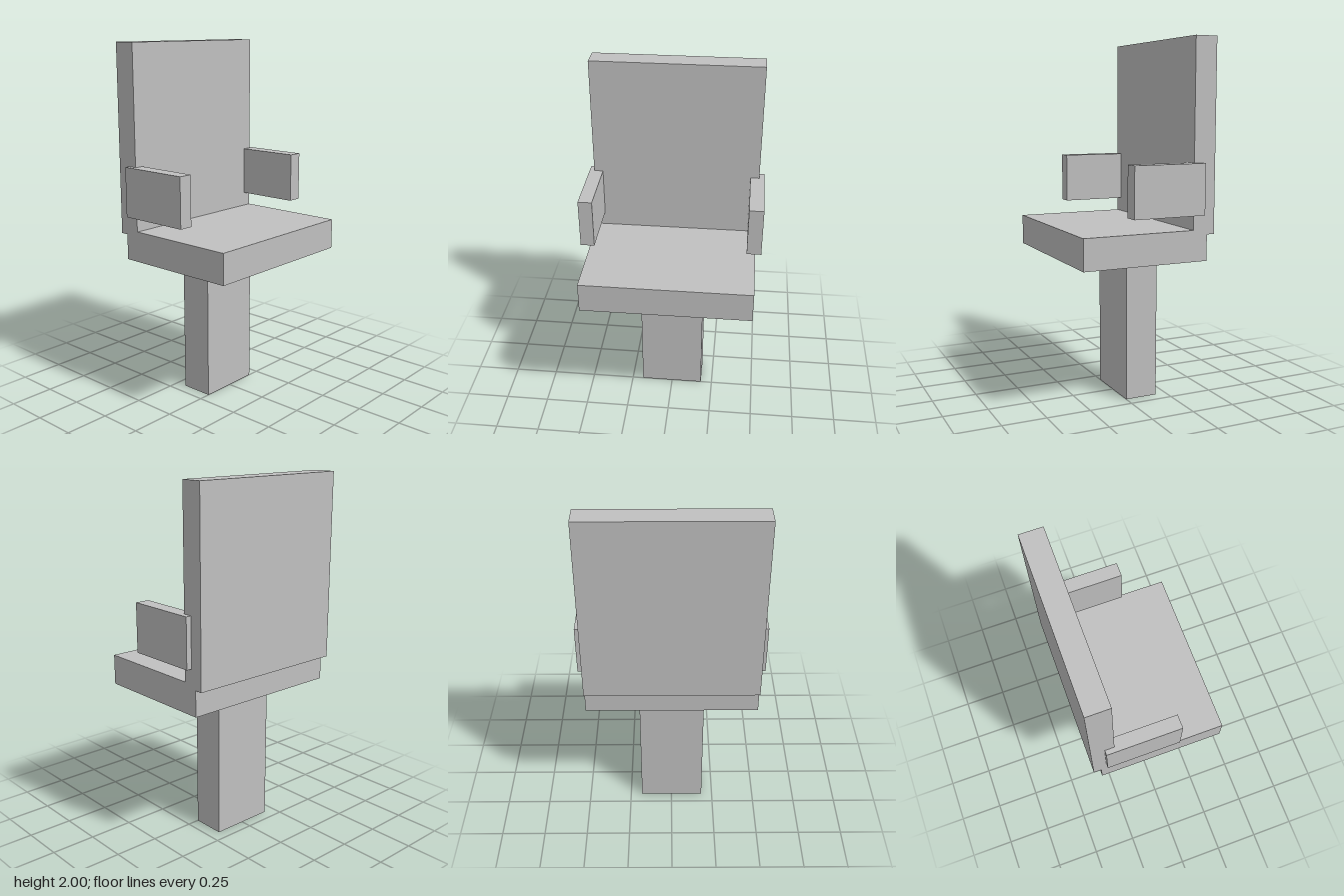
import * as THREE from 'three';

export function createModel() {
  const group = new THREE.Group();
  group.name = 'chair';
  const grey = new THREE.MeshStandardMaterial({ color: 0xc0c0c0 });
  grey.name = 'plain grey';

  // Adds a box spanning the given [min, max] ranges
  function addBox(name, [x0, x1], [y0, y1], [z0, z1]) {
    const mesh = new THREE.Mesh(new THREE.BoxGeometry(x1 - x0, y1 - y0, z1 - z0), grey);
    mesh.position.set((x0 + x1) / 2, (y0 + y1) / 2, (z0 + z1) / 2);
    mesh.name = name;
    group.add(mesh);
  }

  addBox('pedestal', [-0.185, 0.182], [0, 0.825], [-0.187, 0]);
  addBox('seat', [-0.473, 0.47], [0.82, 0.99], [-0.335, 0.378]);
  addBox('backrest', [-0.473, 0.47], [0.963, 2], [-0.378, -0.252]);

  // Armrests stand clear of the seat and join the sides of the backrest
  addBox('leftArmrest', [0.42, 0.5], [1.07, 1.345], [-0.304, 0.11]);
  addBox('rightArmrest', [-0.5, -0.423], [1.07, 1.345], [-0.304, 0.11]);

  return group;
}
